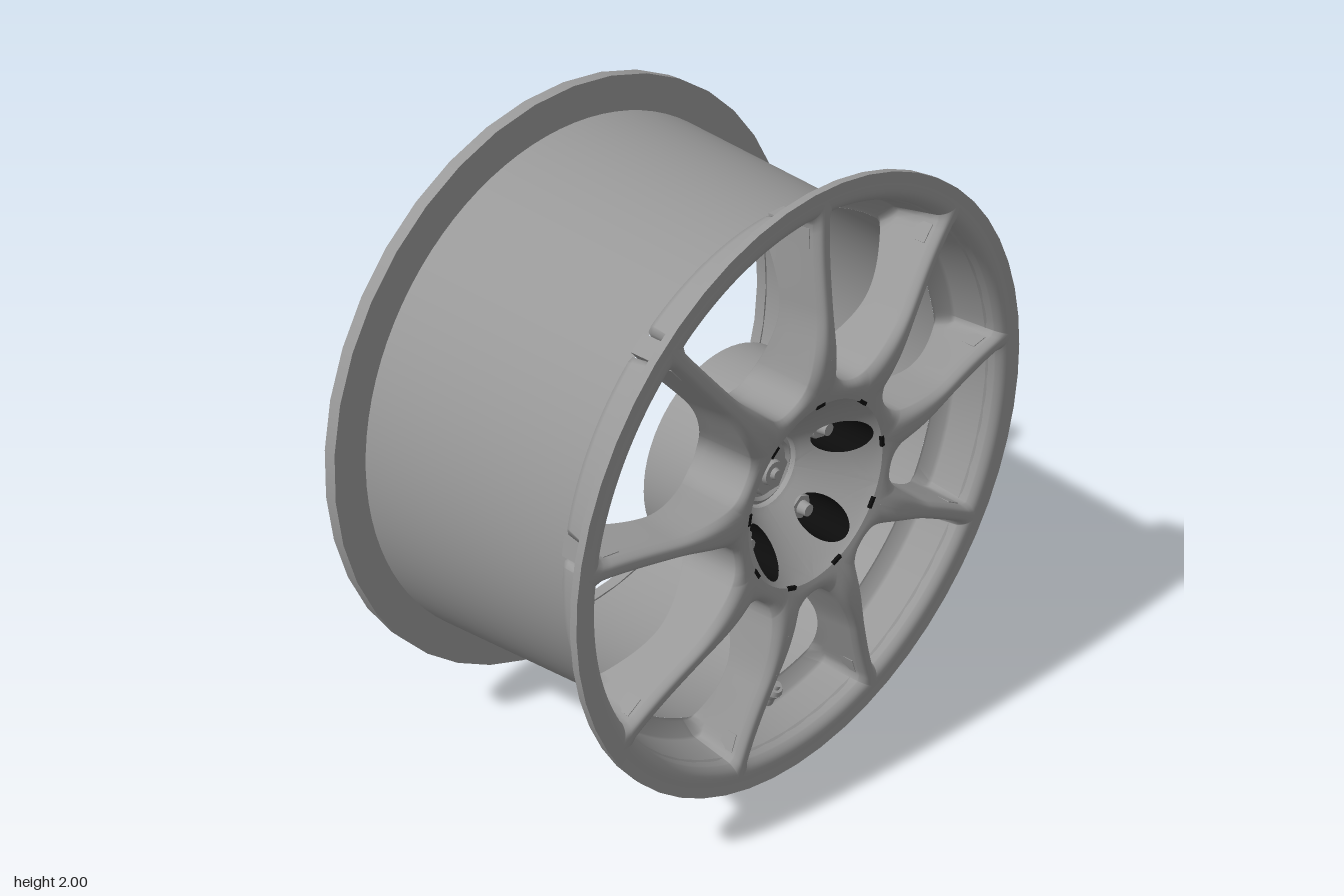
import * as THREE from 'three';

const metal = new THREE.MeshStandardMaterial({ color: 0x999999, side: THREE.DoubleSide });
const dark = new THREE.MeshStandardMaterial({ color: 0x0c0c0c, side: THREE.DoubleSide });
const SPOKES = 9, HALF = Math.PI / SPOKES;
const NUTS = 5, NUT_R = 0.225, NUT_HALF = Math.PI / NUTS;
const { lerp, clamp, smoothstep } = THREE.MathUtils;

function mesh(name, geometry, parent, material = metal) {
  const m = new THREE.Mesh(geometry, material);
  m.name = name;
  parent.add(m);
  return m;
}

// Turned part about the wheel axis; profile points are [radius, x]
function turned(name, profile, segments, parent) {
  // doubled points keep the profile corners crisp
  const pts = [];
  profile.forEach(([r, x], i) => {
    pts.push(new THREE.Vector2(r, x));
    if (i > 0 && i < profile.length - 1) pts.push(new THREE.Vector2(r, x));
  });
  const m = mesh(name, new THREE.LatheGeometry(pts, segments), parent);
  m.rotation.z = -Math.PI / 2;
  return m;
}

// Cylinder along x from x0 to x1
function rod(name, r0, r1, x0, x1, sides, parent, y = 0) {
  const m = mesh(name, new THREE.CylinderGeometry(r1, r0, x1 - x0, sides), parent);
  m.rotation.z = -Math.PI / 2;
  m.position.set((x0 + x1) / 2, y, 0);
  return m;
}

// Height of the spoke faces, and of the deep hub dish, over the radius
function faceHeight(r) {
  const s = clamp((0.92 - r) / 0.62, 0, 1);
  return 0.5 + 0.034 * Math.sin(Math.PI * s * s);
}
function dishHeight(r) {
  const s = clamp((0.302 - r) / 0.18, 0, 1);
  return 0.5 - 0.2 * s ** 0.9;
}

// Signed window function: negative inside the opening between two spokes
function windowField(u, v, inset, outer) {
  const r = Math.hypot(u, v), a = Math.atan2(v, u);
  const flare = 1 - smoothstep(r, 0.34, 0.62);
  const w = 0.028 + inset + 0.033 * flare;
  const k = 0.008 + 0.022 * flare;
  const limits = [
    w - r * Math.sin(HALF - a), w - r * Math.sin(HALF + a),
    r - outer, 0.345 + inset - r,
  ];
  const top = Math.max(...limits);
  return top + k * Math.log(limits.reduce((t, g) => t + Math.exp((g - top) / k), 0));
}

// Distance along a ray from the centre (u = centre) to where the field turns positive
function reach(field, centre, phi) {
  let lo = 0, hi = 0.7;
  for (let i = 0; i < 34; i++) {
    const d = (lo + hi) / 2;
    if (field(centre + d * Math.cos(phi), d * Math.sin(phi)) < 0) lo = d; else hi = d;
  }
  return lo;
}

// Lofts a wheel sector inwards from its border; column(phi, edge) lists [distance, height] pairs,
// where height is a function of the radius
function sectorLoft(centre, half, rIn, rOut, count, column) {
  const border = (u, v) => {
    const r = Math.hypot(u, v), a = Math.abs(Math.atan2(v, u));
    return Math.max(-r * Math.sin(half - a), r - rOut, rIn - r);
  };
  const phis = [];
  for (let i = 0; i < count; i++) phis.push((i / count) * 2 * Math.PI - Math.PI + 0.001);
  for (const r of [rIn, rOut]) {
    const phi = Math.atan2(r * Math.sin(half), r * Math.cos(half) - centre);
    phis.push(phi, -phi);
  }
  phis.sort((a, b) => a - b);
  const pos = [], idx = [];
  let rings = 0;
  for (const phi of phis) {
    const points = column(phi, reach(border, centre, phi));
    rings = points.length;
    for (const [d, height] of points) {
      const u = centre + d * Math.cos(phi), v = d * Math.sin(phi);
      pos.push(height(Math.hypot(u, v)), u, v);
    }
  }
  for (let i = 0; i < phis.length; i++) {
    for (let j = 0; j < rings - 1; j++) {
      const a = i * rings + j, b = ((i + 1) % phis.length) * rings + j;
      idx.push(a, b, a + 1, b, b + 1, a + 1);
    }
  }
  const g = new THREE.BufferGeometry();
  g.setAttribute('position', new THREE.Float32BufferAttribute(pos, 3));
  g.setIndex(idx);
  g.computeVertexNormals();
  return g;
}

// Spoke halves, rounded edge, pocket walls and chamfered pocket floor around one window
function spokeColumn(phi, edge) {
  const centre = 0.66;
  const outline = (inset, outer) => reach((u, v) => windowField(u, v, inset, outer), centre, phi);
  const open = outline(0, 0.892), back = outline(0.007, 0.866), floor = outline(0.01, 0.815);
  const rOpen = Math.hypot(centre + open * Math.cos(phi), open * Math.sin(phi));
  const xFront = faceHeight(rOpen) - 0.028;
  const xBack = 0.3 + 0.07 * Math.sin(Math.PI * clamp((rOpen - 0.36) / 0.46, 0, 1));
  const points = [];
  for (const t of [0, 0.25, 0.45, 0.6, 0.72, 0.82, 0.9, 0.96, 1]) {
    points.push([lerp(edge, open, t), (r) => faceHeight(r) - 0.028 * t ** 4]);
  }
  for (const t of [0.15, 0.5, 0.9, 1]) {
    points.push([lerp(open, back, t), () => lerp(xFront, xBack + 0.028, t)]);
  }
  points.push([lerp(back, floor, 0.8), () => xBack + 0.002], [floor, () => xBack]);
  return points;
}

export function createModel() {
  const model = new THREE.Group();
  model.name = 'wheel';
  const wheel = new THREE.Group();
  wheel.name = 'wheelAssembly';
  wheel.position.y = 1;
  model.add(wheel);

  // Barrel and the two rim flanges
  turned('barrel', [[0.885, -0.5], [0.815, 0.3]], 96, wheel);
  turned('rearFlange', [[0.88, -0.49], [1, -0.49], [1, -0.535], [0.885, -0.535], [0.88, -0.49]], 40, wheel);
  turned('frontFlange', [[0.94, 0.499], [0.983, 0.503], [0.983, 0.478], [0.93, 0.477],
    [0.9, 0.468], [0.885, 0.445]], 54, wheel);

  // Spokes with window pockets, spoke roots in the notches, and slots around the hub
  const sector = sectorLoft(0.66, HALF, 0.3, 0.95, 112, spokeColumn);
  for (let i = 0; i < SPOKES; i++) {
    mesh('spokeSector', sector, wheel).rotation.x = (2 * i + 1) * HALF;
    const spoke = new THREE.Group();
    spoke.name = 'spokeDetails';
    spoke.rotation.x = 2 * i * HALF;
    wheel.add(spoke);
    mesh('spokeRoot', new THREE.BoxGeometry(0.15, 0.06, 0.062), spoke).position.set(0.39, 0.83, 0);
    mesh('hubSlot', new THREE.BoxGeometry(0.01, 0.012, 0.038), spoke, dark).position.set(0.498, 0.302, 0);
  }

  // Hub: deep dish with nut bores, and the rear body
  const hub = new THREE.Group();
  hub.name = 'hub';
  wheel.add(hub);
  turned('hubBody', [[0.12, 0.31], [0.12, 0.24], [0, 0.24]], 48, hub);
  turned('hubRear', [[0.335, 0.4], [0.34, 0.33], [0.34, 0.12], [0.09, 0.12], [0.09, 0.24]], 60, hub);
  const boreR = 0.064;
  const dish = sectorLoft(NUT_R, NUT_HALF, 0.12, 0.302, 60, (phi, edge) =>
    [0, 0.2, 0.4, 0.6, 0.8, 1].map((t) => [lerp(edge, boreR, t), dishHeight]));
  // bore walls follow the dish at the top and lean slightly outwards below
  const bore = sectorLoft(NUT_R, NUT_HALF, 0.12, 0.302, 60, () =>
    [[boreR, dishHeight], [boreR - 0.006, () => 0.27]]);

  // Wheel nuts with washer and stud, one in each bore
  for (let i = 0; i < NUTS; i++) {
    const nut = new THREE.Group();
    nut.name = 'wheelNut';
    nut.rotation.x = 2 * i * NUT_HALF;
    hub.add(nut);
    mesh('dishSector', dish, nut);
    mesh('nutBore', bore, nut, dark);
    rod('washer', 0.059, 0.057, 0.26, 0.285, 24, nut, NUT_R);
    rod('hexNut', 0.046, 0.042, 0.285, 0.33, 6, nut, NUT_R);
    rod('stud', 0.024, 0.02, 0.33, 0.36, 16, nut, NUT_R);
  }

  // Centre cap
  turned('capRing', [[0.118, 0.24], [0.115, 0.295], [0.1, 0.305], [0.09, 0.295], [0, 0.295]], 40, hub);
  rod('capHex', 0.08, 0.075, 0.29, 0.318, 6, hub);
  rod('capBoss', 0.042, 0.038, 0.318, 0.332, 24, hub);
  rod('capTip', 0.02, 0.015, 0.332, 0.345, 12, hub);

  // Valve stem at the bottom of the rim
  const valve = new THREE.Group();
  valve.name = 'valveStem';
  valve.position.set(0.32, -0.855, 0);
  valve.rotation.z = -0.5;
  wheel.add(valve);
  [[0.024, 0.02, 0.03, 0.015], [0.02, 0.03, 0.035, 0.045], [0.03, 0.022, 0.02, 0.07], [0.013, 0.011, 0.02, 0.088]]
    .forEach(([low, high, h, y]) => {
      mesh('stemSection', new THREE.CylinderGeometry(high, low, h, 16), valve).position.y = y;
    });
  return model;
}
